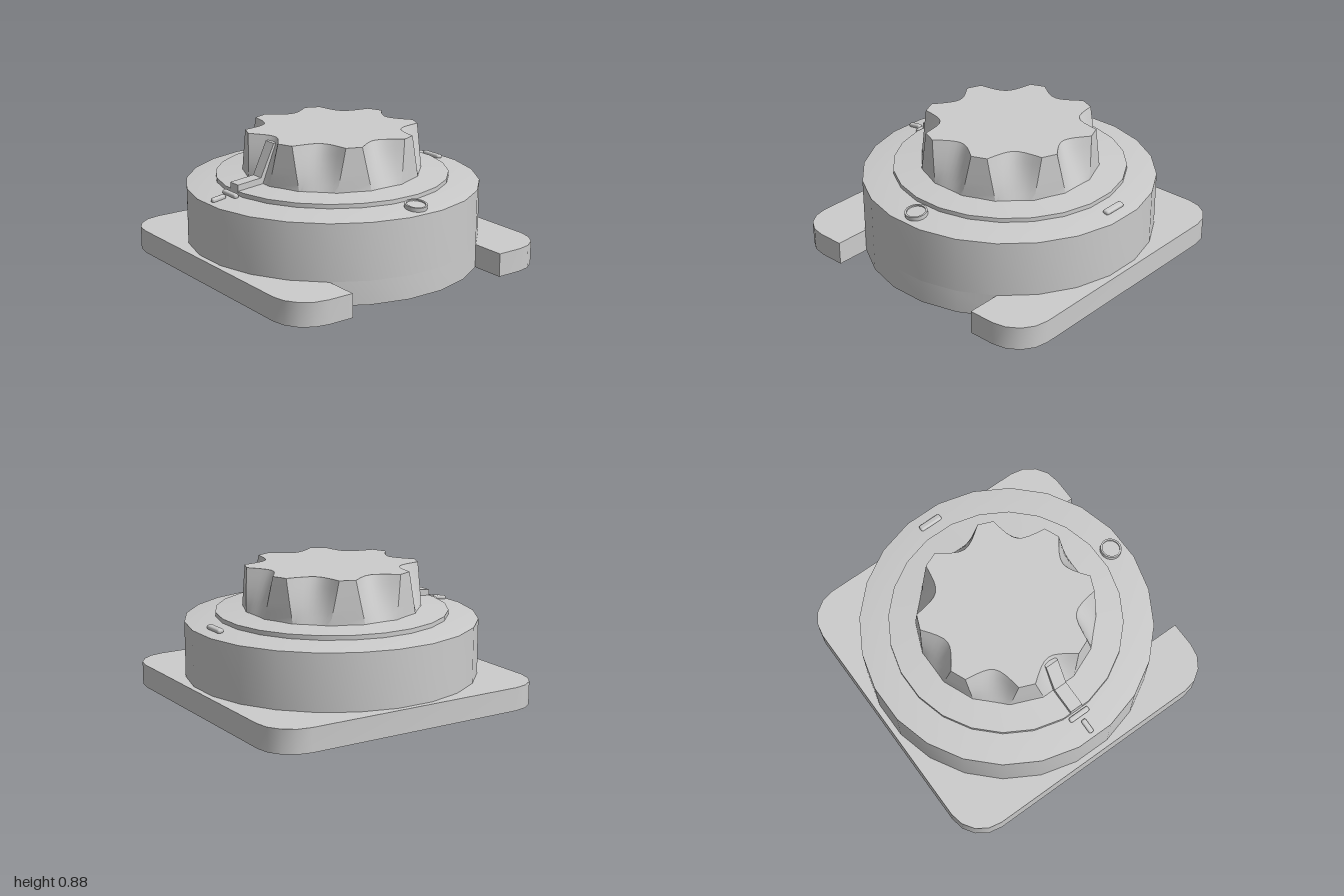
import * as THREE from 'three';
import { toCreasedNormals } from 'three/addons/utils/BufferGeometryUtils.js';
import { RoundedBoxGeometry } from 'three/addons/geometries/RoundedBoxGeometry.js';

const RAD = Math.PI / 180;
const R = 0.97;        // body radius
const PLATE_H = 0.155;
const SEGS = 24;
const OFFSET = 7.5 * RAD;

const grey = new THREE.MeshStandardMaterial({ color: 0xcccccc, side: THREE.DoubleSide });

function add(parent, name, geometry) {
  const mesh = new THREE.Mesh(geometry, grey);
  mesh.name = name;
  parent.add(mesh);
  return mesh;
}

function lathe(profile, segs = SEGS, start = OFFSET, length = Math.PI * 2) {
  const pts = profile.map(([r, y]) => new THREE.Vector2(r, y));
  return toCreasedNormals(new THREE.LatheGeometry(pts, segs, start, length), 0.45);
}

// Grid of quads from rows of points
function loft(rows) {
  const n = rows[0].length;
  const index = [];
  for (let j = 0; j < rows.length - 1; j++) {
    for (let i = 0; i < n - 1; i++) {
      const a = j * n + i, b = a + 1, c = a + n, d = c + 1;
      index.push(a, b, d, a, d, c);
    }
  }
  const g = new THREE.BufferGeometry();
  g.setAttribute('position', new THREE.Float32BufferAttribute(rows.flat(2), 3));
  g.setIndex(index);
  return toCreasedNormals(g, 0.4);
}

// Rounded plate, open below, with a slot on the +x side that meets the body
function buildPlate(group) {
  const plate = new THREE.Group();
  plate.name = 'basePlate';
  const outer = [[R * Math.cos(37.5 * RAD), 0.59], [1, 0.59]];
  const r = 0.235, c = 1 - r;
  [[c, c], [-c, c], [-c, -c], [c, -c]].forEach(([cx, cz], q) => {
    for (let k = 0; k <= 4; k++) {
      const a = (q * 90 + k * 22.5) * RAD;
      outer.push([cx + r * Math.cos(a), cz + r * Math.sin(a)]);
    }
  });
  outer.push([1, -0.59], [R * Math.cos(37.5 * RAD), -0.59]);

  // Top face: outer edge, then back around the body the long way
  const outline = outer.map(([x, z]) => new THREE.Vector2(x, -z));
  for (let a = 307.5; a > 45; a -= 15) {
    outline.push(new THREE.Vector2(R * Math.cos(a * RAD), -R * Math.sin(a * RAD)));
  }
  const top = new THREE.ShapeGeometry(new THREE.Shape(outline));
  top.rotateX(-Math.PI / 2).translate(0, PLATE_H, 0);
  add(plate, 'plateTop', top);

  const row = (y) => outer.map(([x, z]) => [x, y, z]);
  add(plate, 'plateRim', loft([row(PLATE_H), row(0)]));
  group.add(plate);
}

// Nearly straight grip with eight scallops that fade out toward the base
function buildKnob(group) {
  const knob = new THREE.Group();
  knob.name = 'knob';
  const Y0 = 0.585, Y1 = 0.88, STEPS = 5;
  const ring = (t) => {
    const radius = 0.592 - 0.022 * t;
    const depth = 0.008 + 0.11 * t;
    const half = 0.2 + 0.1 * t;
    const pts = [];
    for (let s = 0; s < 8; s++) {
      for (let k = -4; k <= 4; k++) {
        const u = k / 4;
        const a = s * Math.PI / 4 + u * half;
        const d = radius - depth * (1 - u * u);
        pts.push([d * Math.sin(a), Y0 + (Y1 - Y0) * t, d * Math.cos(a)]);
      }
    }
    pts.push([...pts[0]]);
    return pts;
  };
  const rows = [];
  for (let j = 0; j <= STEPS; j++) rows.push(ring(j / STEPS));
  add(knob, 'knobSide', loft(rows));
  const cap = new THREE.ShapeGeometry(new THREE.Shape(
    rows[STEPS].slice(0, -1).map(([x, , z]) => new THREE.Vector2(x, -z))));
  cap.rotateX(-Math.PI / 2).translate(0, Y1, 0);
  add(knob, 'knobTop', cap);

  // Pointer runs down the front scallop and out over the collar
  const profile = [[0.46, 0.85], [0.492, 0.85], [0.592, 0.64], [0.765, 0.622], [0.765, 0.57], [0.46, 0.57]];
  const shape = new THREE.Shape(profile.map(([z, y]) => new THREE.Vector2(-z, y)));
  const pointer = new THREE.ExtrudeGeometry(shape, { depth: 0.09, bevelEnabled: false });
  pointer.translate(0, 0, -0.045).rotateY(Math.PI / 2);
  add(knob, 'pointer', pointer);
  knob.position.x = -0.006;
  group.add(knob);
}

// Raised mark on the sloping shoulder, at an angle from the front
function addMark(group, name, geometry, angle, radius, y) {
  const pivot = new THREE.Group();
  pivot.name = name;
  pivot.rotation.y = angle;
  const mesh = add(pivot, name + 'Shape', geometry);
  mesh.position.set(0, y, radius);
  mesh.rotation.x = 0.15;
  pivot.position.x = -0.005;
  group.add(pivot);
}

export function createModel() {
  const group = new THREE.Group();
  group.name = 'rotaryDial';

  buildPlate(group);

  // Hollow body with shallow shoulder, and its skirt down through the slot
  add(group, 'body', lathe([[R, PLATE_H], [R, 0.525], [0.76, 0.555], [0, 0.56]]));
  add(group, 'bodySkirt', lathe([[R, 0], [R, PLATE_H]], 5, 52.5 * RAD, 75 * RAD));

  // Collar under the knob
  const collar = add(group, 'collar', lathe([[0.77, 0.55], [0.77, 0.582], [0.56, 0.602]]));
  collar.position.x = -0.006;

  buildKnob(group);

  addMark(group, 'frontCrossMark', new RoundedBoxGeometry(0.15, 0.03, 0.035, 2, 0.012), 0, 0.795, 0.56);
  addMark(group, 'frontLineMark', new RoundedBoxGeometry(0.035, 0.03, 0.1, 2, 0.012), 0, 0.885, 0.546);
  addMark(group, 'backMark', new RoundedBoxGeometry(0.165, 0.03, 0.045, 2, 0.014), Math.PI, 0.868, 0.55);
  addMark(group, 'sideRing', lathe([[0.072, -0.015], [0.072, 0.015], [0.06, 0.015], [0.06, 0.006], [0, 0.006]]),
    Math.PI / 2, 0.865, 0.552);

  return group;
}
